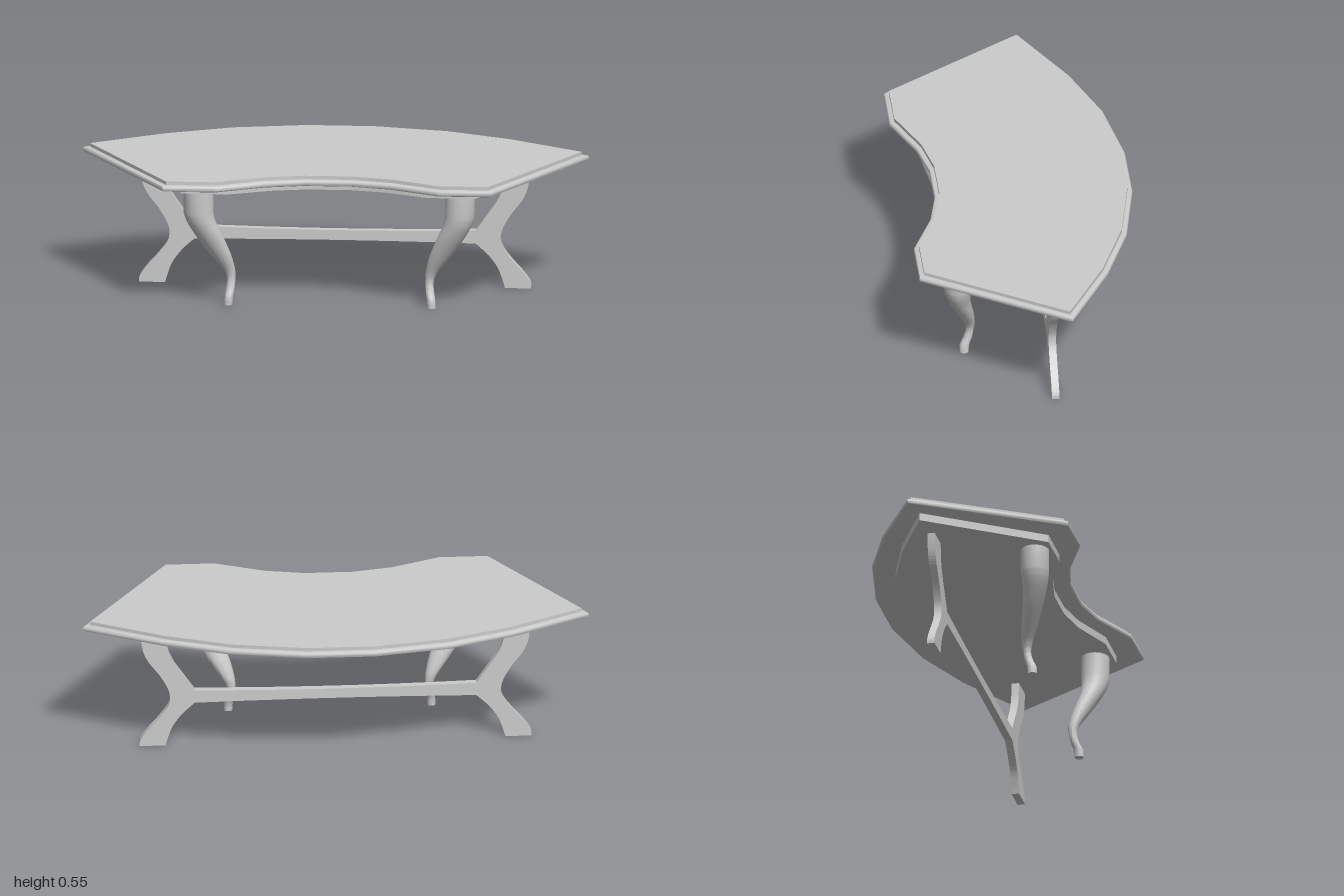
import * as THREE from 'three';
import { mergeVertices, toCreasedNormals } from 'three/addons/utils/BufferGeometryUtils.js';

const material = new THREE.MeshStandardMaterial({ color: 0xcccccc });

// Closed solid through a stack of equal-length rings of [x, y, z], bottom to top.
function loft(rings) {
  const n = rings[0].length, index = [];
  for (let j = 0; j < rings.length - 1; j++) {
    for (let i = 0; i < n; i++) {
      const a = j * n + i, b = j * n + (i + 1) % n;
      index.push(a, a + n, b, b, a + n, b + n);
    }
  }
  const cap = (ring) => THREE.ShapeUtils.triangulateShape(ring.map(([x, , z]) => new THREE.Vector2(x, z)), []);
  const last = (rings.length - 1) * n;
  for (const [a, b, c] of cap(rings[0])) index.push(a, b, c);
  for (const [a, b, c] of cap(rings[rings.length - 1])) index.push(last + a, last + c, last + b);
  const geometry = new THREE.BufferGeometry();
  geometry.setAttribute('position', new THREE.Float32BufferAttribute(rings.flat(2), 3));
  geometry.setIndex(index);
  return toCreasedNormals(mergeVertices(geometry), 0.6);
}

// Mitred inward offset of an outline of [x, z].
function inset(outline, d) {
  const n = outline.length;
  const normal = ([ax, az], [bx, bz]) => {
    const l = Math.hypot(bx - ax, bz - az);
    return [-(bz - az) / l, (bx - ax) / l];
  };
  return outline.map((p, i) => {
    const u = normal(outline[(i + n - 1) % n], p), v = normal(p, outline[(i + 1) % n]);
    const k = d / (1 + u[0] * v[0] + u[1] * v[1]);
    return [p[0] + (u[0] + v[0]) * k, p[1] + (u[1] + v[1]) * k];
  });
}

function addMesh(parent, name, geometry) {
  const mesh = new THREE.Mesh(geometry, material);
  mesh.name = name;
  parent.add(mesh);
  return mesh;
}

// Flat plank cut from an x-y outline, shared depth for the rear frame
function plank(shape) {
  const geometry = new THREE.ExtrudeGeometry(shape, { depth: 0.03, bevelEnabled: false, curveSegments: 20 });
  geometry.translate(0, 0, -0.095);
  return toCreasedNormals(geometry, 0.5);
}

export function createModel() {
  const group = new THREE.Group();
  group.name = 'curvedTable';

  // Crescent outline: one half from back to front, then mirrored
  const half = [[0.135, -0.455], [0.43, -0.4], [0.69, -0.297], [1, -0.122],
    [0.648, 0.447], [0.44, 0.447], [0.245, 0.36], [0.093, 0.327]];
  const outline = [...half, ...half.map(([x, z]) => [-x, z]).reverse()];

  // Tabletop: rounded rim with a small step up to the surface
  const rim = [[0.01, 0.511], [0.003, 0.514], [0, 0.519], [0, 0.528], [0.003, 0.533],
    [0.01, 0.536], [0.02, 0.536], [0.02, 0.55]];
  addMesh(group, 'tabletop', loft(rim.map(([d, y]) => inset(outline, d).map(([x, z]) => [x, y, z]))));

  // Apron under the top
  addMesh(group, 'apron', loft([0.48, 0.511].map((y) => outline.map(([x, z]) => [x * 0.9, y, z * 0.787]))));

  // Front cabriole legs: [y, centre x, centre z, radius x, radius z]
  const stations = [[0, 0.402, 0.243, 0.017, 0.018], [0.03, 0.4, 0.241, 0.017, 0.019],
    [0.065, 0.394, 0.227, 0.017, 0.017], [0.1, 0.392, 0.22, 0.017, 0.016], [0.13, 0.397, 0.22, 0.022, 0.02],
    [0.2, 0.43, 0.239, 0.04, 0.031], [0.25, 0.457, 0.255, 0.049, 0.037], [0.3, 0.483, 0.27, 0.054, 0.043],
    [0.35, 0.507, 0.279, 0.057, 0.051], [0.385, 0.517, 0.281, 0.059, 0.056]];
  const centres = new THREE.CatmullRomCurve3(stations.map(([y, x, z]) => new THREE.Vector3(x, y, z)));
  const radii = new THREE.CatmullRomCurve3(stations.map((s) => new THREE.Vector3(s[3], s[0], s[4])));
  const sides = 28, steps = 36;
  for (const side of [1, -1]) {
    const ring = (c, r, y) => Array.from({ length: sides }, (_, i) => {
      const a = (i / sides) * Math.PI * 2;
      return [side * c.x + r.x * Math.cos(a), y, c.z + r.z * Math.sin(a)];
    });
    const rings = [];
    for (let j = 0; j <= steps; j++) {
      const c = centres.getPoint(j / steps);
      rings.push(ring(c, radii.getPoint(j / steps), c.y));
    }
    rings.push(ring(centres.getPoint(1), radii.getPoint(1), 0.482));
    addMesh(group, side > 0 ? 'frontLegLeft' : 'frontLegRight', loft(rings));
  }

  // Rear legs: bowed planks with a flat waist where the stretcher meets them
  const v = (points) => points.map(([x, y]) => new THREE.Vector2(x, y));
  for (const side of [1, -1]) {
    const m = (points) => v(points.map(([x, y]) => [x * side, y]));
    const shape = new THREE.Shape();
    shape.moveTo(0.672 * side, 0);
    shape.lineTo(0.775 * side, 0);
    shape.splineThru(m([[0.772, 0.025], [0.74, 0.07], [0.7, 0.115], [0.664, 0.165], [0.655, 0.205],
      [0.664, 0.245], [0.695, 0.3], [0.74, 0.36], [0.762, 0.41], [0.773, 0.481]]));
    shape.lineTo(0.67 * side, 0.481);
    shape.splineThru(m([[0.662, 0.41], [0.64, 0.355], [0.6, 0.295], [0.557, 0.233]]));
    shape.lineTo(0.557 * side, 0.18);
    shape.splineThru(m([[0.605, 0.135], [0.642, 0.085], [0.66, 0.04], [0.672, 0]]));
    addMesh(group, side > 0 ? 'rearLegLeft' : 'rearLegRight', plank(shape));
  }

  // Stretcher, slightly waisted along its top
  const bar = new THREE.Shape();
  bar.moveTo(-0.557, 0.18);
  bar.quadraticCurveTo(0, 0.19, 0.557, 0.18);
  bar.lineTo(0.557, 0.233);
  bar.quadraticCurveTo(0, 0.217, -0.557, 0.233);
  addMesh(group, 'stretcher', plank(bar));

  return group;
}
